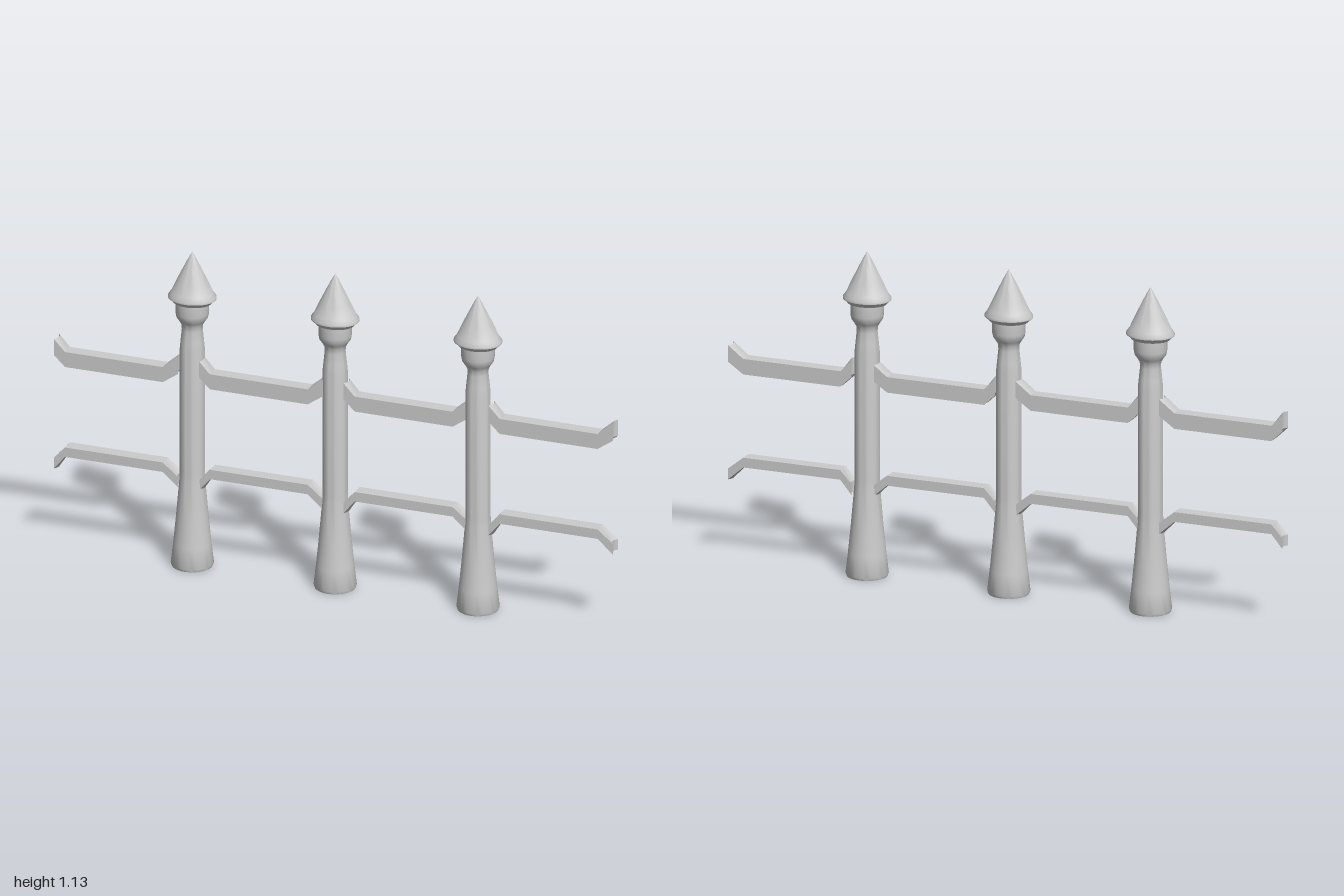
import * as THREE from 'three';
import { toCreasedNormals } from 'three/addons/utils/BufferGeometryUtils.js';

const material = new THREE.MeshStandardMaterial({ color: 0xcccccc });

// Turned part from [radius, height] pairs, bottom to top
function turned(name, profile) {
  const points = profile.map(([r, y]) => new THREE.Vector2(r, y));
  const mesh = new THREE.Mesh(toCreasedNormals(new THREE.LatheGeometry(points, 32), 0.6), material);
  mesh.name = name;
  return mesh;
}

// Post: flared foot, straight shaft, narrow neck, collar and pointed cap
function createPost(x) {
  const post = new THREE.Group();
  post.name = 'post';
  const shaft = turned('shaft', [
    [0, 0], [0.068, 0], [0.072, 0.01], [0.064, 0.08], [0.055, 0.17], [0.043, 0.31],
    [0.042, 0.34], [0.042, 0.78], [0.039, 0.81], [0.035, 0.85], [0.036, 0.868],
    [0.044, 0.882], [0.053, 0.895], [0.056, 0.91], [0.056, 0.955], [0, 0.955],
  ]);
  const cap = turned('cap', [
    [0, 0.948], [0.056, 0.948], [0.061, 0.955], [0.07, 0.963], [0.07, 0.97],
    [0.061, 0.984], [0.045, 1.025], [0.027, 1.068], [0.012, 1.103], [0, 1.128],
  ]);
  cap.scale.x = 1.18; // the cap is a little wider along the fence
  post.add(shaft, cap);
  post.position.x = x;
  return post;
}

// Rail: flat bar with bent ends, hollowed at both ends to sit against the posts
const LENGTH = 0.445, BEND_A = 0.04, BEND_B = 0.39, DEPTH = 0.048;
function createRail(name, x, bottom, top, endBottom, endTop) {
  const shape = new THREE.Shape([
    [0, endBottom], [BEND_A, bottom], [BEND_B, bottom], [LENGTH, endBottom],
    [LENGTH, endTop], [BEND_B, top], [BEND_A, top], [0, endTop],
  ].map(([px, py]) => new THREE.Vector2(px, py)));
  const geometry = new THREE.ExtrudeGeometry(shape, { depth: DEPTH, steps: 4, bevelEnabled: false });
  geometry.translate(0, 0, -DEPTH / 2);
  const p = geometry.attributes.position;
  for (let i = 0; i < p.count; i++) {
    const hollow = 0.01 * (1 - (2 * p.getZ(i) / DEPTH) ** 2);
    if (p.getX(i) < 0.001) p.setX(i, hollow);
    else if (p.getX(i) > LENGTH - 0.001) p.setX(i, LENGTH - hollow);
  }
  const mesh = new THREE.Mesh(toCreasedNormals(geometry, 0.5), material);
  mesh.name = name;
  mesh.position.x = x;
  return mesh;
}

export function createModel() {
  const fence = new THREE.Group();
  fence.name = 'fence';
  for (const x of [-0.514, -0.003, 0.508]) fence.add(createPost(x));
  // Four bays of rails, evenly spaced
  for (let i = 0; i < 4; i++) {
    const x = -1 + i * (2 - LENGTH) / 3;
    fence.add(createRail('upperRail', x, 0.652, 0.706, 0.69, 0.748));
    fence.add(createRail('lowerRail', x, 0.328, 0.362, 0.28, 0.318));
  }
  return fence;
}
